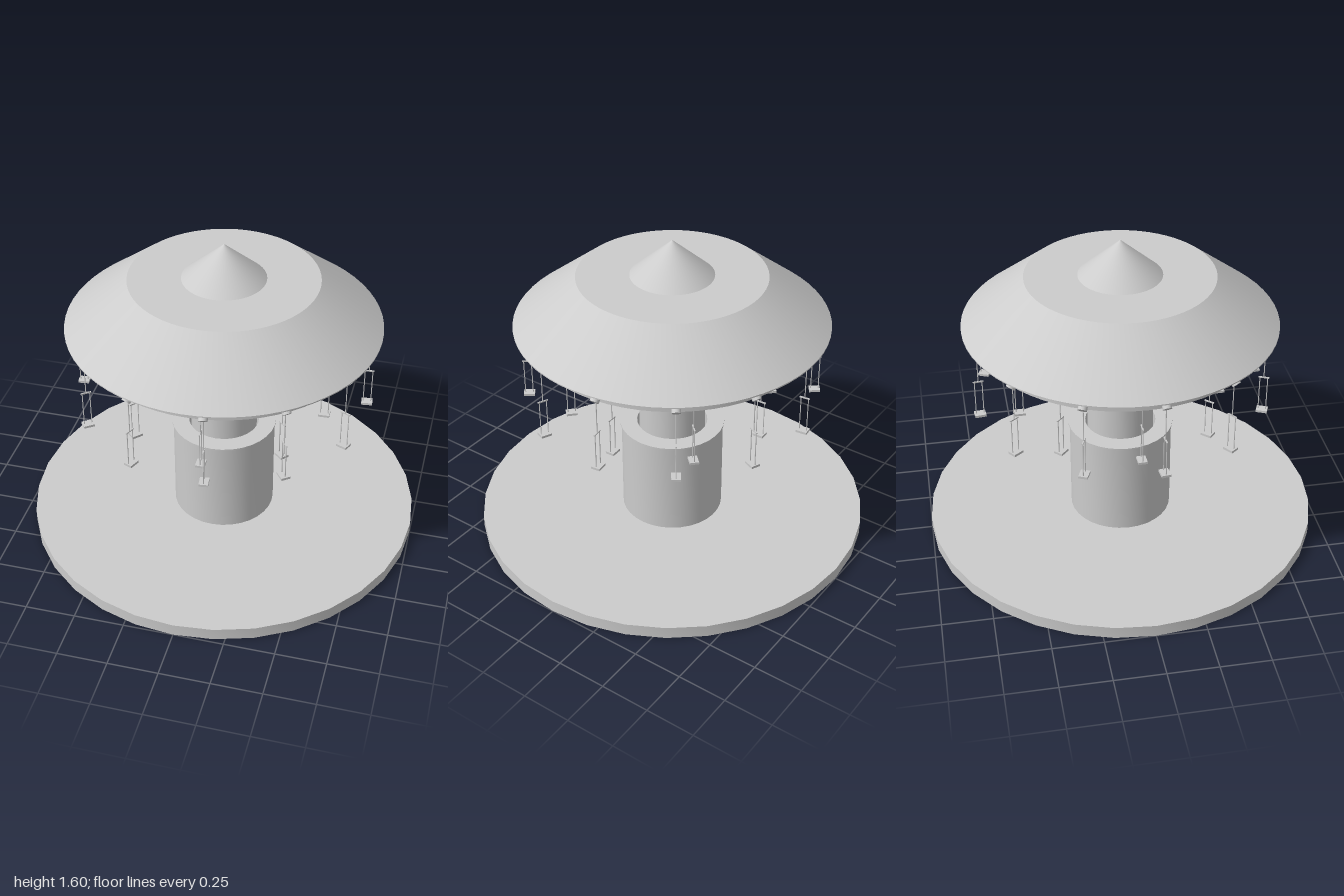
import * as THREE from 'three';
import { toCreasedNormals } from 'three/addons/utils/BufferGeometryUtils.js';

const grey = new THREE.MeshStandardMaterial({ color: 0xcccccc });
grey.name = 'lightGrey';

function addPart(parent, name, geometry, x = 0, y = 0, z = 0) {
  const mesh = new THREE.Mesh(geometry, grey);
  mesh.name = name;
  mesh.position.set(x, y, z);
  parent.add(mesh);
  return mesh;
}

// Turned part from [radius, height] pairs, listed upwards along the outside
function addTurned(parent, name, profile, sides = 64) {
  const points = profile.map(([r, y]) => new THREE.Vector2(r, y));
  return addPart(parent, name, toCreasedNormals(new THREE.LatheGeometry(points, sides), 0.5));
}

const lampGeometry = new THREE.CylinderGeometry(0.022, 0.022, 0.044, 16);
const seatGeometry = new THREE.BoxGeometry(0.045, 0.012, 0.055);
const barGeometry = new THREE.BoxGeometry(0.006, 0.006, 0.052);

function addRod(parent, name, bottom, top, z) {
  addPart(parent, name, new THREE.CylinderGeometry(0.0025, 0.0025, top - bottom, 6), 0, (bottom + top) / 2, z);
}

// Lamp and hanging swing, with local +z pointing outwards
function makeSwing(lampY, radius) {
  const swing = new THREE.Group();
  swing.name = 'swing';
  const barY = lampY - 0.195;
  const seatY = lampY - 0.383;
  addPart(swing, 'lamp', lampGeometry, 0, lampY, radius).rotation.x = -Math.PI / 4;
  addRod(swing, 'hangingRod', barY, lampY, radius);
  addPart(swing, 'crossbar', barGeometry, 0, barY, radius);
  for (const side of [-1, 1]) addRod(swing, 'seatRod', seatY, barY, radius + side * 0.019);
  addPart(swing, 'seat', seatGeometry, 0, seatY, radius);
  return swing;
}

function addSwingRing(parent, name, count, offsetDegrees, lampY, radius) {
  const ring = new THREE.Group();
  ring.name = name;
  for (let i = 0; i < count; i++) {
    const swing = makeSwing(lampY, radius);
    swing.rotation.y = THREE.MathUtils.degToRad(offsetDegrees) + (i / count) * Math.PI * 2;
    ring.add(swing);
  }
  parent.add(ring);
}

export function createModel() {
  const ride = new THREE.Group();
  ride.name = 'swingRide';

  // Platform and telescoping tower
  addTurned(ride, 'platform', [[0, 0], [1, 0], [1, 0.063], [0, 0.063]], 32);
  addTurned(ride, 'pedestal', [[0.26, 0.06], [0.26, 0.563], [0.267, 0.563], [0.267, 0.571], [0.18, 0.571], [0.18, 0.45]], 32);
  addTurned(ride, 'middleColumn', [[0.168, 0.4], [0.168, 0.865], [0.172, 0.865], [0.172, 0.872], [0, 0.872]], 32);
  addTurned(ride, 'upperColumn', [[0.128, 0.86], [0.128, 1.05]], 32);

  // Canopy with two stepped rings below and a cone on top
  addTurned(ride, 'innerRing', [[0, 1.037], [0.505, 1.037], [0.505, 1.11]]);
  addTurned(ride, 'outerRing', [[0, 1.1], [0.71, 1.1], [0.71, 1.17]]);
  addTurned(ride, 'canopy', [[0, 1.162], [0.777, 1.162], [0.777, 1.168], [0.465, 1.412], [0, 1.412]]);
  addTurned(ride, 'roofCone', [[0.208, 1.41], [0, 1.595]]);

  // Swings around both rings
  addSwingRing(ride, 'outerSwings', 12, 6.8, 1.125, 0.72);
  addSwingRing(ride, 'innerSwings', 8, 1.7, 1.062, 0.515);

  return ride;
}
